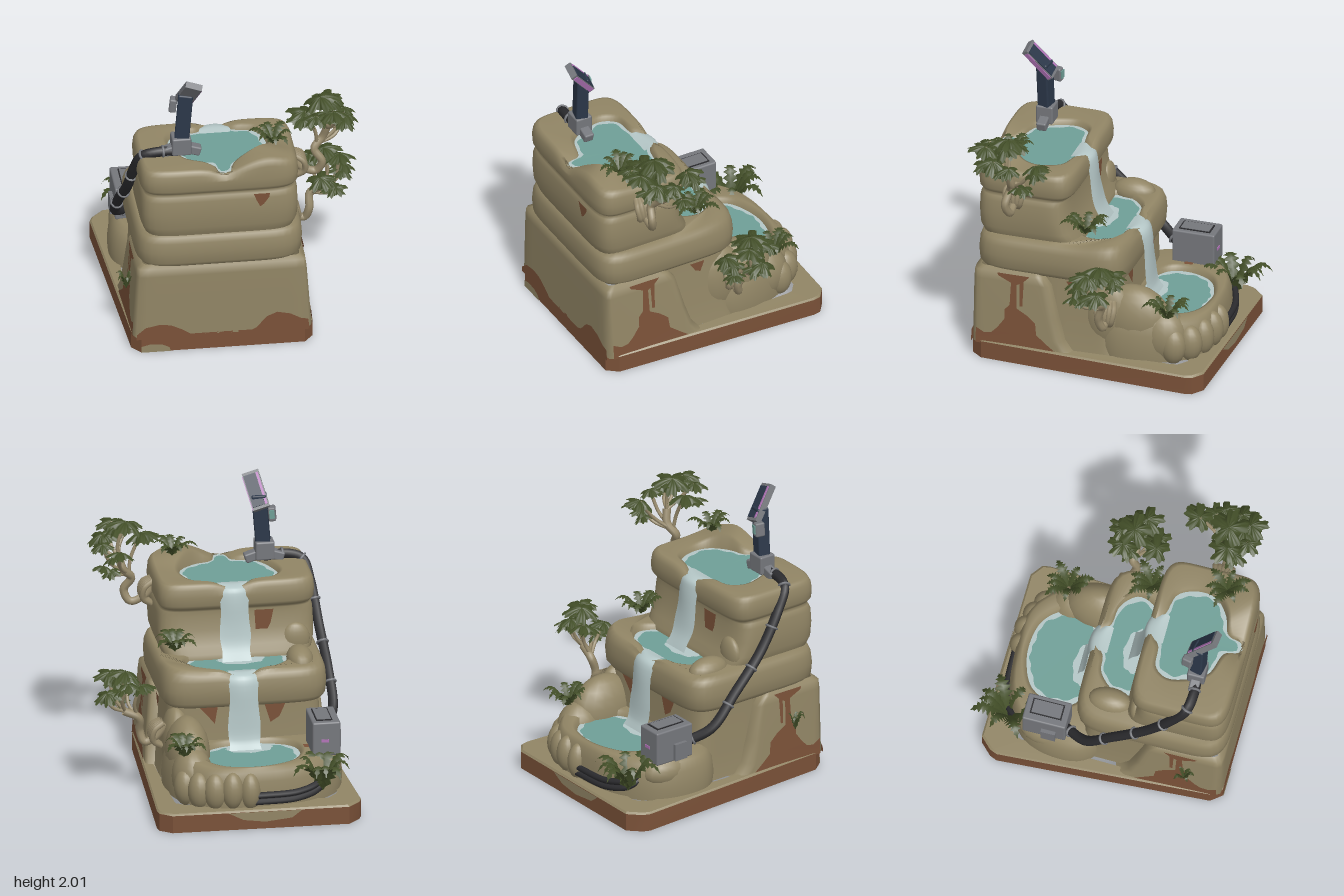
import * as THREE from 'three';
import { toCreasedNormals } from 'three/addons/utils/BufferGeometryUtils.js';
import { RoundedBoxGeometry } from 'three/addons/geometries/RoundedBoxGeometry.js';

const material = (name, color) => Object.assign(new THREE.MeshStandardMaterial({ color, side: THREE.DoubleSide }), { name });
const rock = material('sandstone', 0x918565), clay = material('red clay', 0x7a5138), water = material('water', 0x6f9f97);
const foam = material('foam', 0xb4c6c6), leaf = material('leaf', 0x434f28), bark = material('bark', 0x96896b);
const rubber = material('black rubber', 0x2b2b2e), steel = material('grey metal', 0x75777c);
const navy = material('navy', 0x2c384a), pink = material('pink', 0xb274b8);
const V = (x, y, z) => new THREE.Vector3(x, y, z);
const N = 96, bell = (x, c, w) => Math.exp(-(((x - c) / w) ** 2)), { lerp } = THREE.MathUtils;

// Skin over closed rings of equal length, bottom to top and then inwards
function loft(rings) {
  const n = rings[0].length, index = [];
  for (let i = 0; i < rings.length - 1; i++) for (let j = 0; j < n; j++) {
    const a = i * n + j, b = i * n + (j + 1) % n;
    index.push(a, a + n, b, b, a + n, b + n);
  }
  const g = new THREE.BufferGeometry().setFromPoints(rings.flat()).setIndex(index);
  g.computeVertexNormals();
  return g;
}
// Rounded rectangle ring
const rect = (y, x0, x1, z0, z1, p = 7) => Array.from({ length: N }, (_, j) => {
  const t = j / N * Math.PI * 2, c = Math.cos(t), s = Math.sin(t), r = (Math.abs(c) ** p + Math.abs(s) ** p) ** (-1 / p);
  return V((x0 + x1) / 2 + c * r * (x1 - x0) / 2, y, (z0 + z1) / 2 + s * r * (z1 - z0) / 2);
});
// Free outline, resampled at equal angles round a centre
function outline(pts, cx, cz) {
  const curve = new THREE.CatmullRomCurve3(pts.map(([x, z]) => V(x - cx, 0, z - cz)), true, 'centripetal');
  const samples = curve.getPoints(700).map((q) => [Math.atan2(q.z, q.x), Math.hypot(q.x, q.z)]);
  const radii = Array.from({ length: N }, (_, j) => samples.reduce((best, [a, d]) => {
    const e = 1 - Math.cos(a - j / N * Math.PI * 2);
    return e < best[0] ? [e, d] : best;
  }, [9, 0])[1]);
  return (y, scale, wave = 0, grow = 0) => radii.map((r, j) => {
    const t = j / N * Math.PI * 2, d = r * (scale + wave * Math.sin(t * 11) * Math.cos(t * 5)) + grow;
    return V(cx + Math.cos(t) * d, y, Math.min(cz + Math.sin(t) * d, 0.865));
  });
}
// Change a geometry's vertices by a rule (x, y, z, index) => [x, y, z]
function bend(g, rule) {
  const p = g.attributes.position;
  for (let i = 0; i < p.count; i++) p.setXYZ(i, ...rule(p.getX(i), p.getY(i), p.getZ(i), i));
  g.computeVertexNormals();
  return g;
}

export function createModel() {
  const model = new THREE.Group();
  const add = (name, geometry, mat, pos = [0, 0, 0], rot = [0, 0, 0], parent = model) => {
    const mesh = new THREE.Mesh(geometry, mat);
    mesh.name = name;
    mesh.position.set(...pos);
    mesh.rotation.set(...rot);
    parent.add(mesh);
    return mesh;
  };
  // Base slab, open underneath and below the tall block
  const plan = [[0.52, -0.66], [0.45, 0.8], [0.39, 0.875], [-0.72, 0.875], [-0.78, 0.8],
    [-0.87, -0.66], [-0.85, -0.71], [-0.77, -0.79], [0.43, -0.77], [0.51, -0.71]];
  const slab = (y, front, back) => plan.map(([x, z]) => [x, z, z > 0 ? front : back]).map(([x, z, s]) => V(-0.17 + (x + 0.17) * s, y, z * s));
  add('baseWall', toCreasedNormals(loft([slab(0, 1, 1), slab(0.122, 1, 1)]), 0.5), clay);
  add('baseTop', toCreasedNormals(loft([slab(0.122, 1, 1), slab(0.134, 0.985, 0.985), slab(0.135, 0.97, 0.8)]), 0.5), rock);
  // Tall back block, its sides flush with the base, and the column under the middle pool
  const wall = (side, y, z) => side > 0 ? lerp(0.45 + (0.8 - z) * 0.04, 0.4, y / 0.65) : lerp(-0.78 - (0.8 - z) * 0.05, -0.745, y / 0.65);
  const block = [[0.11, 0.13, 0], [0.14, 0.17, 0], [0.2, 0.22, 0], [0.35, 0.27, 0], [0.58, 0.33, 0], [0.64, 0.38, 0.004], [0.66, 0.42, 0.04]];
  add('backBlock', loft(block.map(([y, z0, d]) => rect(y, -1, 1, z0, 0.875 - d, 22).map((p) =>
    V(lerp(wall(-1, y, p.z) + d, wall(1, y, p.z) - d, (p.x + 1) / 2), y, p.z)))), rock);
  add('middleColumn', loft([rect(0.13, -0.72, 0.4, -0.16, 0.4), rect(0.3, -0.7, 0.37, -0.13, 0.4), rect(0.66, -0.69, 0.34, -0.12, 0.5)]), rock);

  // Stone tiers with sunken pools; the rim dips at the spillway and may rise elsewhere
  const tier = (name, rings, pool, rim, level, rise) => {
    const skin = [...rings, pool(rim, 1, 0, 0.035), pool(rim - 0.008, 1, 0, 0.012), pool(level - 0.01, 1)];
    skin.slice(0, -1).flat().forEach((p) => { if (p.y > rim - 0.045) p.y += rise(p.x, p.z); });
    add(name + 'Tier', loft(skin), rock);
    add(name + 'Foam', loft([pool(level, 1.01), pool(level + 0.001, 0.91, 0.04)]), foam);
    add(name + 'Water', loft([pool(level + 0.001, 0.91, 0.04), pool(level, 0.4), pool(level, 0.001)]), water);
  };
  const lowShape = outline([[0.38, -0.1], [0.2, 0.08], [-0.5, 0.08], [-0.76, -0.1], [-0.74, -0.46],
    [-0.52, -0.65], [-0.15, -0.71], [0.14, -0.68], [0.34, -0.46]], -0.16, -0.38);
  const lowPool = outline([[0.17, -0.4], [0.12, -0.25], [0, -0.17], [-0.35, -0.16], [-0.48, -0.24], [-0.5, -0.38],
    [-0.43, -0.53], [-0.3, -0.6], [-0.15, -0.625], [0.03, -0.59], [0.13, -0.5]], -0.16, -0.38);
  tier('lower', [[0.12, 1.02], [0.2, 1.03], [0.31, 1.01], [0.37, 0.96], [0.4, 0.9]].map(([y, s]) => lowShape(y, s)), lowPool, 0.4, 0.36,
    (x, z) => 0.06 * bell(x, 0.28, 0.12) * bell(z, -0.3, 0.2));
  const midPool = outline([[0.2, 0.04], [0.17, 0.15], [0.05, 0.24], [-0.35, 0.24], [-0.49, 0.17], [-0.49, 0.06],
    [-0.38, -0.06], [-0.27, -0.08], [-0.21, -0.115], [-0.09, -0.115], [-0.03, -0.08], [0.1, -0.06]], -0.15, 0.06);
  const inset = (x0, x1, z0) => ([y, d, recess = 0]) => rect(y, x0 + d, x1 - d, z0 + d + recess, 0.885 - d);
  const spill = (x) => -0.043 * bell(x, -0.15, 0.1);
  tier('middle', [[0.62, 0.09], [0.645, 0.03], [0.68, 0.006], [0.76, 0], [0.83, 0.006], [0.87, 0.02], [0.895, 0.045]]
    .map(inset(-0.745, 0.395, -0.18)), midPool, 0.9, 0.865,
  (x, z) => (z < 0.2 ? spill(x) : 0) + 0.03 * bell(x, 0.3, 0.12) * bell(z, -0.03, 0.15));
  const topPool = outline([[0.17, 0.48], [0.15, 0.6], [0.05, 0.69], [-0.08, 0.74], [-0.12, 0.85], [-0.18, 0.85], [-0.21, 0.75], [-0.38, 0.68],
    [-0.46, 0.54], [-0.48, 0.42], [-0.42, 0.33], [-0.28, 0.31], [-0.22, 0.275], [-0.08, 0.275], [-0.03, 0.3], [0.11, 0.34]], -0.15, 0.5);
  tier('upper', [[0.86, 0.04, -0.08], [0.9, 0.025, -0.06], [0.95, 0.008, -0.01], [1.05, 0.003, 0.03], [1.15, 0.008, 0.035], [1.185, 0.022, 0.025],
    [1.2, 0.032, 0.01], [1.215, 0.018], [1.24, 0.003], [1.3, 0], [1.35, 0.006], [1.38, 0.02], [1.39, 0.04]].map(inset(-0.715, 0.36, 0.2)),
  topPool, 1.39, 1.35, (x, z) => spill(x) + 0.085 * bell(x, 0.14, 0.15) * bell(z, 0.76, 0.14));

  // Waterfalls: a ribbon that follows a path of [y, z] points, with a splash at its foot
  const fall = (name, path, w0, w1, splash) => {
    const curve = new THREE.CatmullRomCurve3(path.map(([y, z]) => V(0, y, z)));
    add(name, bend(new THREE.PlaneGeometry(1, 1, 6, 24), (u, py) => {
      const v = THREE.MathUtils.clamp(0.5 - py, 0, 1), q = curve.getPoint(v);
      return [-0.15 + u * (lerp(w0, w1, v) + 0.012 * Math.sin(v * 19)), q.y, q.z + 0.2 * u * u * Math.min(1, v * 4) * (1 - v)];
    }), foam);
    add(name + 'Splash', bend(new THREE.CircleGeometry(1, 28), (x, y, z, i) =>
      [x * (0.16 + 0.01 * Math.sin(i * 1.7)), 0, -y * (0.085 + 0.006 * Math.sin(i * 1.7))]), foam, splash);
  };
  fall('upperFall', [[1.354, 0.33], [1.365, 0.26], [1.345, 0.2], [1.28, 0.18], [1.1, 0.165], [0.97, 0.14], [0.87, 0.09]], 0.2, 0.2, [-0.18, 0.869, 0.13]);
  fall('middleFall', [[0.868, -0.06], [0.88, -0.13], [0.86, -0.18], [0.8, -0.205], [0.6, -0.215], [0.43, -0.23], [0.365, -0.26]], 0.18, 0.22, [-0.18, 0.364, -0.22]);

  // Boulders: centre, radii
  [[0.24, 0.36, -0.22, 0.15, 0.25, 0.26], [0.29, 0.38, -0.05, 0.1, 0.26, 0.18], [0.24, 0.27, -0.42, 0.14, 0.2, 0.17],
    [-0.57, 0.88, 0.05, 0.09, 0.09, 0.15], [-0.66, 0.3, -0.36, 0.12, 0.12, 0.2], [-0.57, 0.95, 0.24, 0.1, 0.12, 0.05],
    [-0.11, 0.24, -0.69, 0.07, 0.13, 0.08], [0.01, 0.25, -0.69, 0.075, 0.13, 0.08], [0.12, 0.24, -0.66, 0.08, 0.13, 0.08],
    [0.22, 0.23, -0.6, 0.08, 0.13, 0.09], [0.3, 0.23, -0.51, 0.08, 0.13, 0.09],
  ].forEach(([x, y, z, a, b, c]) => add('boulder', new THREE.SphereGeometry(1, 18, 12).scale(a, b, c), rock, [x, y, z]));

  // Clay and sandstone stains laid on the walls
  const stain = (name, pts, place, mat = clay) =>
    add(name, bend(new THREE.ShapeGeometry(new THREE.Shape(pts.map((q) => new THREE.Vector2(...q)))), place), mat);
  const facing = (z) => (u, v) => [u, v, z];
  stain('frontStain', [[-0.755, 0.1], [-0.75, 0.14], [-0.69, 0.19], [-0.6, 0.208], [-0.52, 0.2], [-0.44, 0.16], [-0.38, 0.12], [-0.2, 0.1],
    [-0.02, 0.1], [0.06, 0.14], [0.13, 0.22], [0.2, 0.25], [0.29, 0.23], [0.36, 0.19], [0.41, 0.18], [0.42, 0.1]], facing(0.88));
  stain('frontPale', [[-0.72, 0], [-0.72, 0.045], [-0.66, 0.06], [-0.58, 0.055], [-0.53, 0.03], [-0.52, 0]], facing(0.88), rock);
  stain('frontStain', [[0.04, 1.19], [0.06, 1.14], [0.085, 1.09], [0.11, 1.11], [0.145, 1.16], [0.15, 1.19]], facing(0.887));
  stain('rearPale', [[-0.45, 0.122], [-0.38, 0.07], [-0.2, 0.05], [-0.05, 0.07], [0.05, 0.122]], (u, v) => [u, v, -0.795 + (u + 0.77) * 0.0167], rock);
  stain('wallStain', [[-0.42, 1.18], [-0.4, 1.08], [-0.36, 1.0], [-0.3, 1.02], [-0.29, 1.18]], facing(0.23));
  stain('wallStain', [[-0.44, 0.64], [-0.4, 0.55], [-0.34, 0.51], [-0.3, 0.64]], facing(-0.137));
  stain('wallStain', [[0.02, 0.64], [0.04, 0.52], [0.08, 0.57], [0.14, 0.64]], facing(-0.137));
  stain('rimStain', [[-0.57, -0.37], [-0.535, -0.37], [-0.53, -0.31], [-0.57, -0.31]], (u, v) => [u, 0.405, v]);
  const streak = [[0.84, 0.11], [0.84, 0.22], [0.78, 0.19], [0.73, 0.2], [0.69, 0.24], [0.64, 0.31], [0.64, 0.38], [0.605, 0.42], [0.6, 0.58],
    [0.69, 0.62], [0.7, 0.64], [0.47, 0.64], [0.51, 0.6], [0.515, 0.42], [0.535, 0.42], [0.54, 0.58], [0.56, 0.57], [0.555, 0.4],
    [0.48, 0.36], [0.42, 0.31], [0.41, 0.23], [0.33, 0.17], [0.24, 0.11]];
  for (const s of [-1, 1]) stain(s > 0 ? 'leftStain' : 'rightStain', streak, (u, v) => [wall(s, v, u) + s * 0.005, v, u]);
  stain('leftStain', [[0.22, 0.64], [0.18, 0.58], [0.14, 0.56], [0.11, 0.64]], (u, v) => [0.382, v, u]);

  // Hoses and their clamps
  const tube = (name, pts, r, mat, seg = 40) => {
    const curve = new THREE.CatmullRomCurve3(pts.map((q) => V(...q)));
    add(name, new THREE.TubeGeometry(curve, seg, r, 8), mat);
    return curve;
  };
  const hose = tube('mainHose', [[-0.42, 1.41, 0.62], [-0.58, 1.415, 0.63], [-0.68, 1.38, 0.61], [-0.72, 1.25, 0.53],
    [-0.75, 1.0, 0.36], [-0.775, 0.76, 0.12], [-0.775, 0.56, -0.07], [-0.69, 0.47, -0.22]], 0.035, rubber, 60);
  for (const t of [0.08, 0.17, 0.36, 0.56, 0.75, 0.97]) {
    const ring = add('hoseClamp', new THREE.TorusGeometry(0.036, 0.009, 6, 14), steel, hose.getPointAt(t).toArray());
    ring.quaternion.setFromUnitVectors(V(0, 0, 1), hose.getTangentAt(t));
  }
  for (const y of [0.18, 0.225]) tube('intakeHose', [[-0.64, 0.34, -0.46], [-0.6, y + 0.04, -0.63], [-0.45, y, -0.705], [-0.13, y - 0.01, -0.725]], 0.022, rubber);
  // Pump box, and a control post with a tilted screen
  const bar = (name, size, mat, pos, rot) => add(name, new RoundedBoxGeometry(...size, 2, 0.012), mat, pos, rot);
  const plate = (name, size, mat, pos, rot, parent) => add(name, new THREE.BoxGeometry(...size), mat, pos, rot, parent);
  bar('pumpBox', [0.19, 0.24, 0.3], steel, [-0.66, 0.51, -0.365]);
  plate('pumpHatch', [0.11, 0.008, 0.22], rubber, [-0.65, 0.632, -0.365]);
  plate('pumpLid', [0.095, 0.008, 0.2], steel, [-0.65, 0.635, -0.365]);
  plate('pumpLight', [0.05, 0.02, 0.008], pink, [-0.65, 0.5, -0.516]);
  plate('pumpBracket', [0.04, 0.12, 0.1], steel, [-0.76, 0.46, -0.33]);
  bar('postFoot', [0.13, 0.13, 0.12], steel, [-0.42, 1.465, 0.62]);
  for (const s of [-1, 1]) bar('postClaw', [0.11, 0.065, 0.07], steel, [-0.42 + s * 0.08, 1.42, 0.62], [0, 0, -s * 0.3]);
  bar('postArm', [0.1, 0.36, 0.085], navy, [-0.4, 1.68, 0.625], [0, -0.2, -0.08]);
  bar('sideUnit', [0.05, 0.1, 0.07], steel, [-0.465, 1.74, 0.56], [0, -0.2, -0.1]);
  plate('sideUnitFace', [0.035, 0.06, 0.008], water, [-0.458, 1.745, 0.522], [0, -0.2, -0.1]);
  const head = new THREE.Group();
  head.name = 'screenHead';
  head.position.set(-0.37, 1.873, 0.65);
  head.rotation.set(0.64, -0.25, -0.2);
  model.add(head);
  [['screenFrame', [0.115, 0.27, 0.045], steel, [0, 0, 0]], ['screen', [0.085, 0.23, 0.008], navy, [0.01, 0, -0.024]],
    ['screenStripe', [0.016, 0.23, 0.008], pink, [-0.042, 0, -0.024]], ['screenEdge', [0.008, 0.24, 0.034], pink, [0.058, -0.005, 0]],
  ].forEach(([name, size, mat, pos]) => plate(name, size, mat, pos, [0, 0, 0], head));

  // Bonsai trees with lobed, drooping leaf pads
  const pad = (x, y, z, r, k) => add('leafPad', bend(new THREE.RingGeometry(0.001, r, 60, 3).rotateX(-Math.PI / 2), (px, py, pz) => {
    const d = Math.hypot(px, pz) / r, a = Math.atan2(pz, px) + k;
    const s = 1 - d * 0.45 * Math.abs(Math.sin(a * 2.5)) ** 5 - d * 0.07 * Math.cos(a * 15);
    return [px * s, -0.38 * r * d * d + 0.08 * r * d * Math.cos(a * 15), pz * s];
  }), leaf, [x, y, z], [0.25 * Math.sin(k * 2), 0, 0.25 * Math.cos(k * 3)]);
  const bonsai = (trunk, fork, pads) => {
    tube('bonsaiTrunk', trunk, 0.028, bark);
    const [rx, ry, rz] = trunk[1];
    for (let i = -2; i <= 2; i++) tube('bonsaiRoot', [[rx - 0.06, ry + 0.12, rz + i * 0.02], [rx, ry + 0.08, rz + i * 0.03],
      [rx + 0.01, ry, rz + i * 0.022], [rx - 0.05, ry - 0.05, rz + i * 0.008]], 0.02, bark, 12);
    pads.forEach(([x, y, z, r], i) => {
      const [fx, fy, fz] = fork[i % fork.length];
      tube('bonsaiBranch', [[fx, fy, fz], [(fx + x) / 2 + 0.03, (fy + y) / 2 - 0.03, (fz + z) / 2], [x, y - 0.005, z]], 0.012, bark, 10);
      pad(x, y, z, r, i * 1.3);
      pad(x + 0.05 * Math.cos(i * 2), y - 0.025, z + 0.05 * Math.sin(i * 2), r * 0.85, i * 2.1 + 1);
    });
  };
  bonsai([[0.33, 1.28, 0.58], [0.41, 1.19, 0.58], [0.5, 1.16, 0.58], [0.54, 1.24, 0.6], [0.49, 1.33, 0.58], [0.55, 1.4, 0.55], [0.58, 1.49, 0.57]],
    [[0.58, 1.48, 0.57], [0.51, 1.36, 0.57]], [[0.53, 1.73, 0.58, 0.13], [0.42, 1.64, 0.6, 0.12], [0.6, 1.69, 0.72, 0.11], [0.6, 1.6, 0.36, 0.1],
      [0.68, 1.63, 0.64, 0.11], [0.7, 1.47, 0.45, 0.08], [0.48, 1.67, 0.73, 0.09], [0.7, 1.6, 0.52, 0.08]]);
  bonsai([[0.36, 0.52, -0.08], [0.45, 0.42, -0.08], [0.51, 0.4, -0.08], [0.54, 0.48, -0.06], [0.55, 0.58, -0.09], [0.65, 0.63, -0.08]],
    [[0.64, 0.625, -0.08], [0.56, 0.59, -0.08]], [[0.64, 0.92, -0.1, 0.12], [0.55, 0.84, -0.16, 0.1], [0.74, 0.9, -0.04, 0.11],
      [0.6, 0.78, 0.06, 0.1], [0.77, 0.78, -0.12, 0.1], [0.7, 0.7, 0.06, 0.08], [0.64, 0.86, -0.19, 0.08]]);

  // Ferns: rings of arched, saw-edged fronds
  [[-0.61, 0.2, -0.65, 0.25, 10, 0.24], [0.3, 0.42, -0.47, 0.18, 9, 0.15], [0.27, 0.96, 0.12, 0.18, 9, 0.13],
    [0.2, 1.44, 0.66, 0.17, 8, 0.12], [-0.79, 0.36, 0.62, 0.08, 5, 0.12]].forEach(([x, y, z, length, count, lift]) => {
    for (let k = 0; k < count; k++) {
      const L = length * (0.88 + 0.14 * Math.sin(k * 2.4));
      add('fernFrond', bend(new THREE.PlaneGeometry(1, 1, 2, 16), (u, py, pz, i) => {
        const row = Math.floor(i / 3), v = 1 - row / 16;
        const w = Math.abs(u) * (0.5 * L * Math.sin(Math.PI * v ** 0.75) * (row % 2 ? 0.35 : 1) + 0.006);
        return [Math.sign(u) * w, lift * Math.sin(v * 2.2) - 0.14 * L * v * v - w * 0.3, L * v + w * 0.3];
      }), leaf, [x, y, z], [0, k / count * Math.PI * 2 + 0.3 * Math.sin(k * 5), 0]);
    }
  });
  return model;
}
